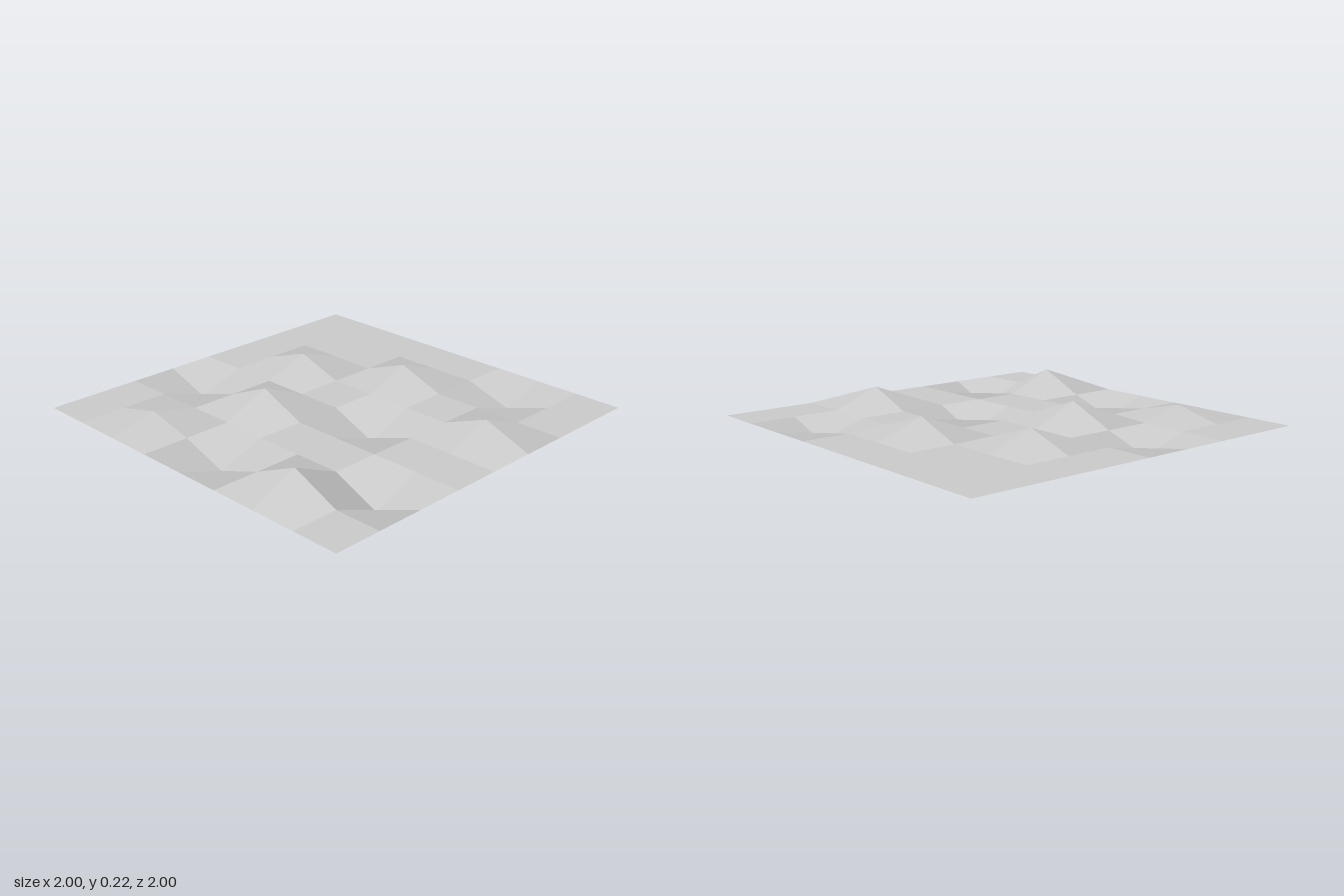
import * as THREE from 'three';

const CELLS = 8;
const STEP = 2 / CELLS;
const BASE = 0.11;

// Peaks and pits on the grid: column (x), row (z), height
const BUMPS = [
  [6, 1, 0.03], [4, 2, 0.2], [2, 3, 0.195], [7, 3, 0.205],
  [5, 4, 0.005], [1, 5, 0.025], [3, 5, 0.216], [7, 6, 0],
  [2, 7, 0.17], [4, 7, 0.025], [6, 7, 0.22],
];

function gridPoint(col, row) {
  const bump = BUMPS.find(([c, r]) => c === col && r === row);
  return new THREE.Vector3(-1 + col * STEP, bump ? bump[2] : BASE, -1 + row * STEP);
}

export function createModel() {
  const group = new THREE.Group();
  group.name = 'terrainPatch';
  const grey = new THREE.MeshStandardMaterial({ color: 0xcccccc, side: THREE.DoubleSide });
  grey.name = 'light grey';

  // Each square cell is two triangles sharing one facet normal
  const positions = [];
  const normals = [];
  for (let row = 0; row < CELLS; row++) {
    for (let col = 0; col < CELLS; col++) {
      const a = gridPoint(col, row);
      const b = gridPoint(col, row + 1);
      const c = gridPoint(col + 1, row + 1);
      const d = gridPoint(col + 1, row);
      const normal = c.clone().sub(a).cross(d.clone().sub(b)).normalize();
      for (const p of [a, b, d, b, c, d]) {
        positions.push(p.x, p.y, p.z);
        normals.push(normal.x, normal.y, normal.z);
      }
    }
  }
  const geometry = new THREE.BufferGeometry();
  geometry.setAttribute('position', new THREE.Float32BufferAttribute(positions, 3));
  geometry.setAttribute('normal', new THREE.Float32BufferAttribute(normals, 3));

  const ground = new THREE.Mesh(geometry, grey);
  ground.name = 'terrainSurface';
  group.add(ground);
  return group;
}
